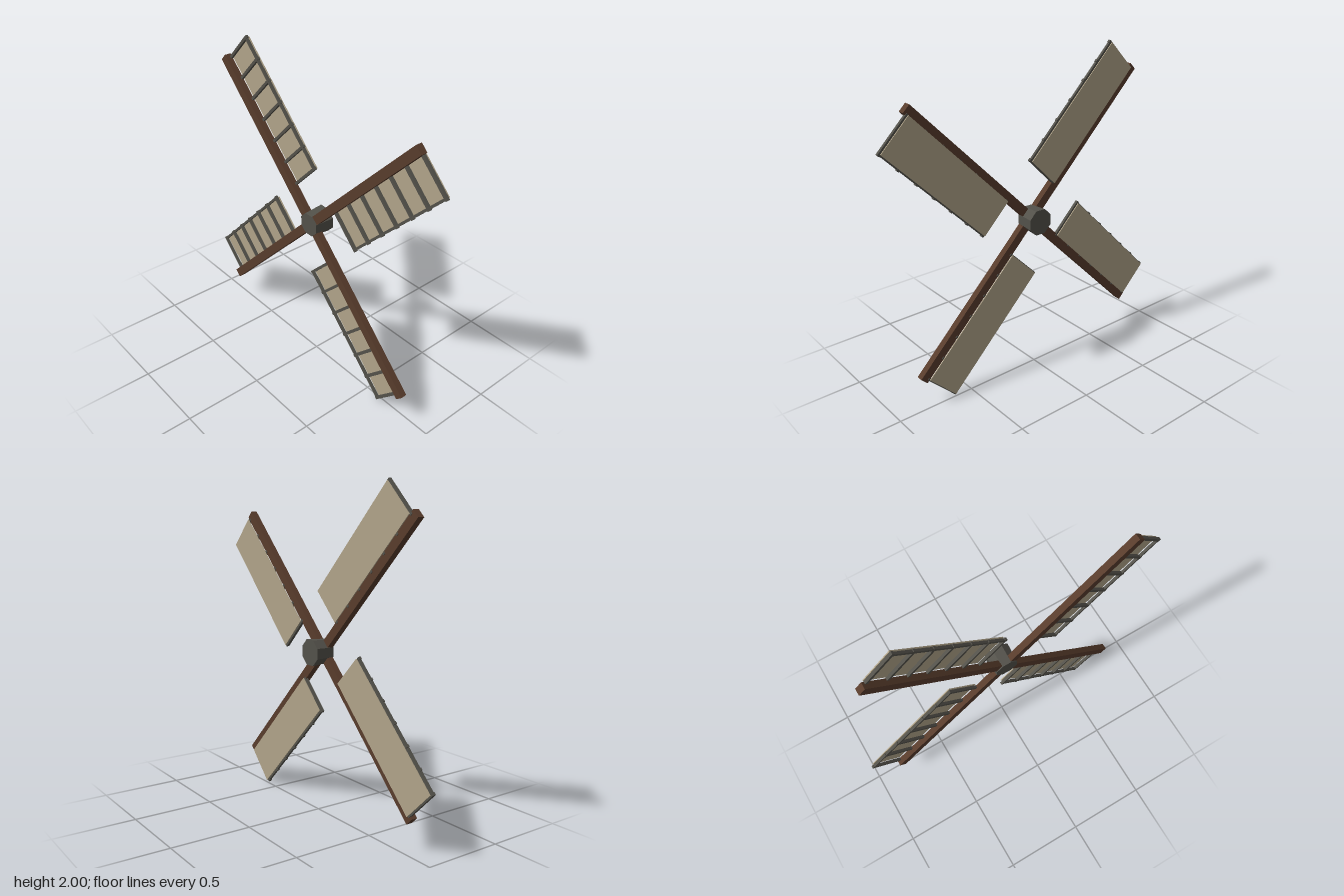
import * as THREE from 'three';

const wood = new THREE.MeshStandardMaterial({ name: 'dark wood', color: 0x583c2c });
const iron = new THREE.MeshStandardMaterial({ name: 'weathered grey', color: 0x53514a });
const canvas = new THREE.MeshStandardMaterial({ name: 'sail cloth', color: 0xb0a389 });

// Box given by its limits on each axis
function slab(name, material, [x0, x1], [y0, y1], [z0, z1]) {
  const geometry = new THREE.BoxGeometry(x1 - x0, y1 - y0, z1 - z0);
  geometry.translate((x0 + x1) / 2, (y0 + y1) / 2, (z0 + z1) / 2);
  const mesh = new THREE.Mesh(geometry, material);
  mesh.name = name;
  return mesh;
}

// One blade pointing up +y, with its sail on the +x side
function createBlade() {
  const blade = new THREE.Group();
  blade.name = 'blade';
  const inner = 0.247, outer = 1.138, bar = 0.017, panels = 6;
  const frameZ = [0.014, 0.03];

  blade.add(slab('spar', wood, [-0.028, 0.028], [0, 1.155], [0.016, 0.057]));
  blade.add(slab('sailCloth', canvas, [0.02, 0.265], [inner + 0.005, outer - 0.007], [0, 0.006]));
  blade.add(slab('outerRail', iron, [0.256, 0.271], [inner, outer], frameZ));

  // Evenly spaced crossbars, reaching just past the rail
  const step = (outer - inner - bar) / panels;
  for (let i = 0; i <= panels; i++) {
    const y = inner + i * step;
    blade.add(slab('crossbar', iron, [0.015, 0.276], [y, y + bar], [0.013, 0.031]));
  }
  return blade;
}

export function createModel() {
  const model = new THREE.Group();
  model.name = 'windmillSails';

  // Tapered eight-sided hub, wider at the back
  const corner = 1 / Math.cos(Math.PI / 8);
  const hubGeometry = new THREE.CylinderGeometry(0.069 * corner, 0.078 * corner, 0.126, 8);
  hubGeometry.rotateY(Math.PI / 8).rotateX(Math.PI / 2);
  const hubMaterial = iron.clone();
  hubMaterial.flatShading = true;
  const hub = new THREE.Mesh(hubGeometry.toNonIndexed(), iron);
  hub.geometry.computeVertexNormals();
  hub.name = 'hub';
  hub.position.y = 1;
  model.add(hub);

  // Four blades set diagonally
  for (let i = 0; i < 4; i++) {
    const blade = createBlade();
    blade.position.y = 1;
    blade.rotation.z = -Math.PI / 4 - i * Math.PI / 2;
    model.add(blade);
  }
  return model;
}
